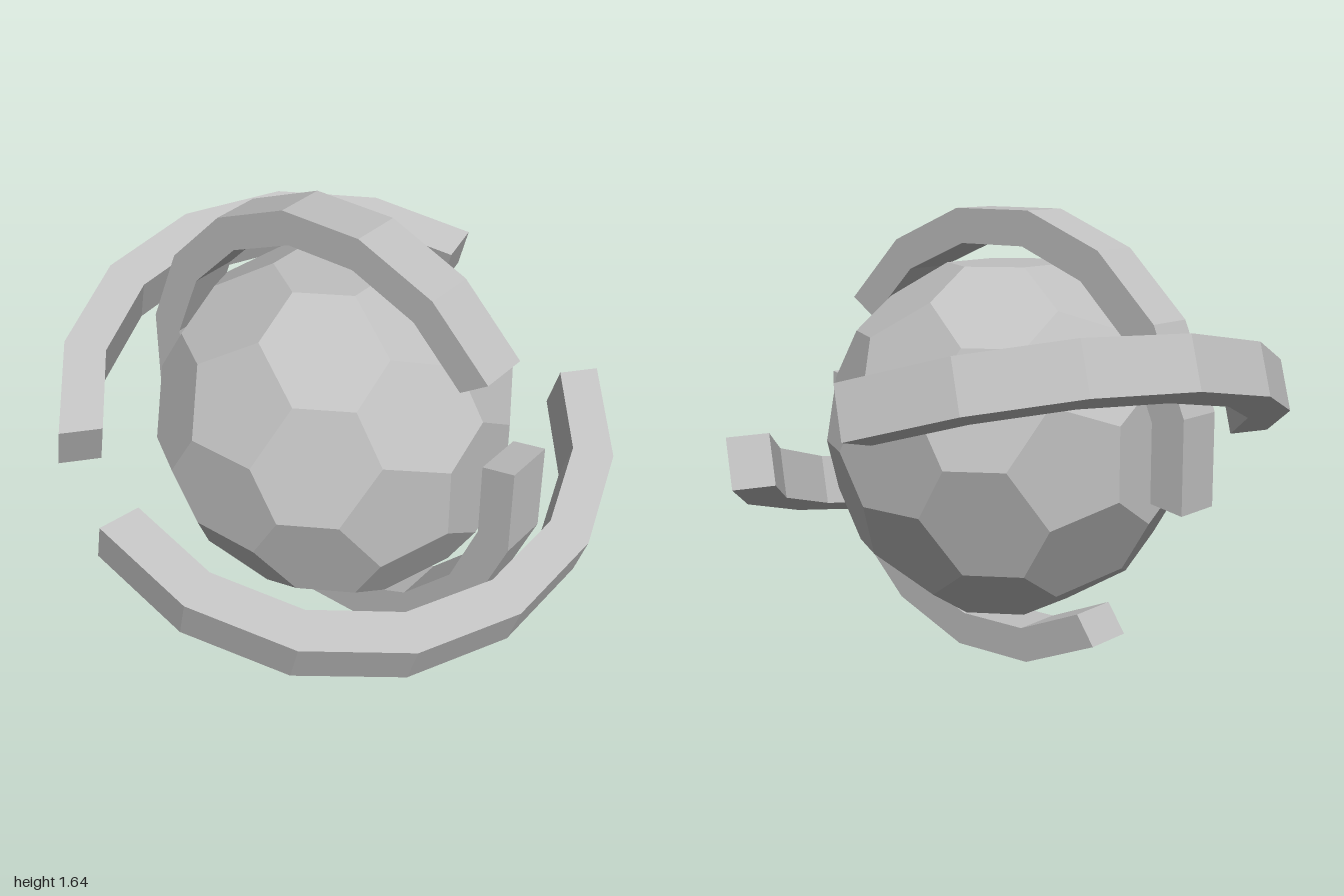
import * as THREE from 'three';
import { ConvexGeometry } from 'three/addons/geometries/ConvexGeometry.js';

const PHI = (1 + Math.sqrt(5)) / 2;
const rad = THREE.MathUtils.degToRad;

// Even permutations of (0, ±a, ±b)
function cyclic(a, b) {
  const out = [];
  for (const s of [-a, a]) for (const t of [-b, b]) {
    out.push(new THREE.Vector3(0, s, t), new THREE.Vector3(s, t, 0), new THREE.Vector3(t, 0, s));
  }
  return out;
}

// Ball of 12 pentagons and 30 hexagons (chamfered dodecahedron)
function ballGeometry(r) {
  const axes = cyclic(1, PHI).map((v) => v.normalize());
  const k = r / PHI;
  const corners = cyclic(PHI * k, k / PHI).map((v) => new THREE.Vector3(v.x, v.y, v.z));
  for (const x of [-k, k]) for (const y of [-k, k]) for (const z of [-k, k]) {
    corners.push(new THREE.Vector3(x, y, z));
  }
  const shrink = 0.54;
  const push = (1 - shrink) * r / axes[0].z;
  const lift = Math.abs(push);
  const points = [...corners];
  for (const c of corners) for (const n of axes) {
    if (c.clone().normalize().dot(n) > 0.7) {
      points.push(c.clone().multiplyScalar(shrink).addScaledVector(n, lift));
    }
  }
  return new ConvexGeometry(points);
}

// Faceted ring section in the xy plane, with 22.5 degree segments
function arcGeometry(inner, outer, width, start, segments) {
  const pts = [];
  const at = (r, i) => {
    const a = rad(start + i * 22.5);
    pts.push(new THREE.Vector2(r * Math.cos(a), r * Math.sin(a)));
  };
  for (let i = 0; i <= segments; i++) at(outer, i);
  for (let i = segments; i >= 0; i--) at(inner, i);
  const geo = new THREE.ExtrudeGeometry(new THREE.Shape(pts), { depth: width, bevelEnabled: false });
  return geo.translate(0, 0, -width / 2);
}

export function createModel() {
  const model = new THREE.Group();
  const grey = new THREE.MeshStandardMaterial({ color: 0xc0c0c0, flatShading: true });
  grey.name = 'grey';

  const add = (parent, name, geo) => {
    const mesh = new THREE.Mesh(geo, grey);
    mesh.name = name;
    parent.add(mesh);
  };

  const body = new THREE.Group();
  body.name = 'ringedBall';
  body.position.y = 0.82;
  model.add(body);
  add(body, 'ball', ballGeometry(0.627));

  // Upright inner ring, broken into two arcs
  const innerRing = new THREE.Group();
  innerRing.name = 'innerRing';
  add(innerRing, 'upperArc', arcGeometry(0.709, 0.836, 0.19, 33.75, 7));
  add(innerRing, 'lowerArc', arcGeometry(0.709, 0.836, 0.19, 236.25, 6));
  body.add(innerRing);

  // Tilted outer ring, broken into two arcs
  const outerRing = new THREE.Group();
  outerRing.name = 'outerRing';
  outerRing.rotation.set(rad(10), 0, rad(-20), 'ZYX');
  add(outerRing, 'leftArc', arcGeometry(0.866, 1.018, 0.19, -56.25, 7).rotateX(Math.PI / 2));
  add(outerRing, 'rightArc', arcGeometry(0.866, 1.018, 0.19, 123.75, 6).rotateX(Math.PI / 2));
  body.add(outerRing);

  return model;
}
